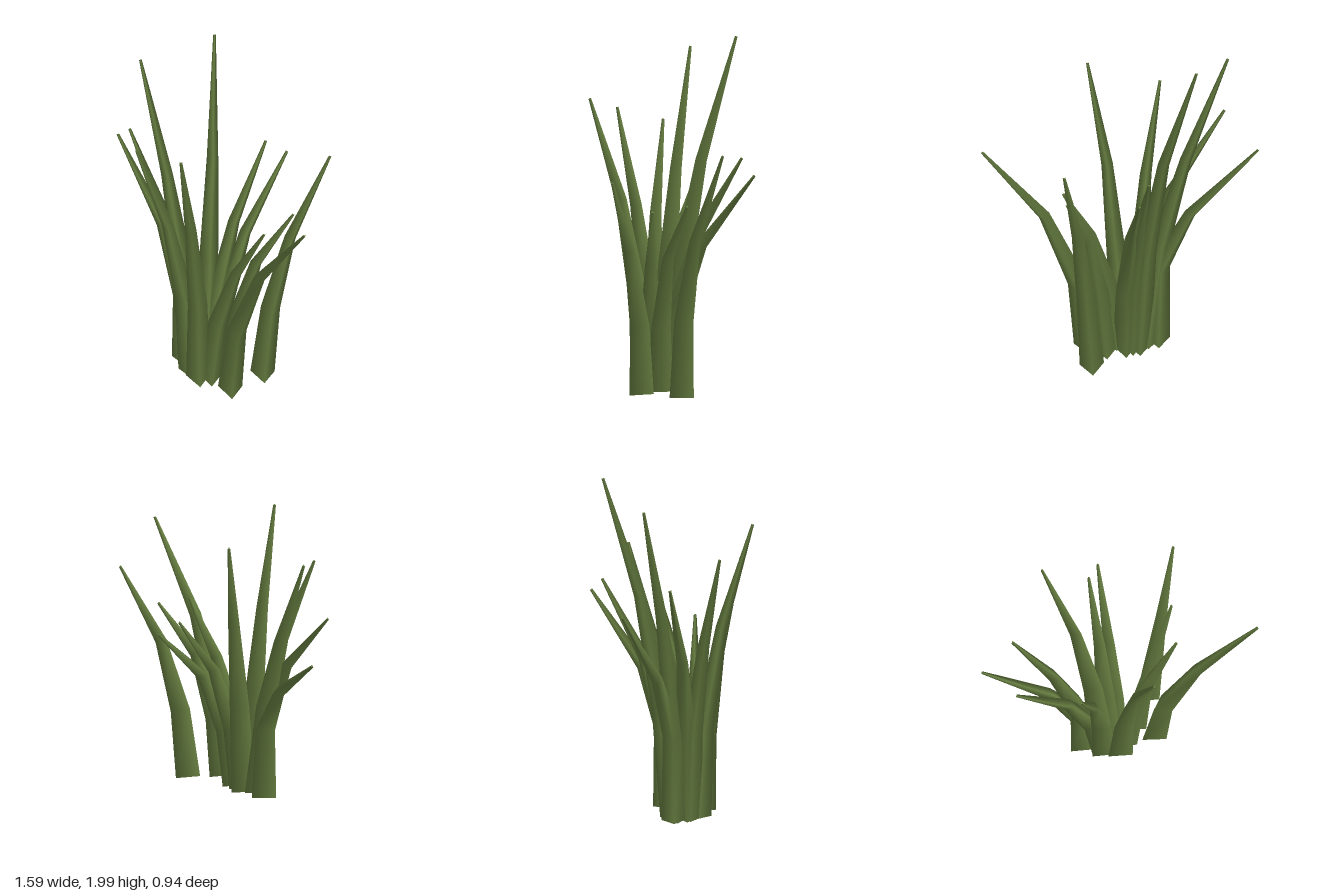
import * as THREE from 'three';

// Centre line of each blade: base, two bends, tip (x, y, z)
const BLADES = [
  [[-0.22, 0.015, 0.15], [-0.235, 0.5, 0.15], [-0.4, 0.85, 0.14], [-0.79, 1.275, 0.13]],
  [[-0.16, 0.015, 0.14], [-0.24, 0.66, 0.15], [-0.38, 1.2, 0.16], [-0.62, 1.86, 0.175]],
  [[-0.11, 0.015, 0.08], [-0.15, 0.65, 0.03], [-0.24, 1.3, -0.06], [-0.42, 1.995, -0.2]],
  [[-0.1, 0.015, 0.17], [-0.16, 0.48, 0.2], [-0.3, 0.94, 0.25], [-0.61, 1.42, 0.34]],
  [[-0.1, 0.015, 0.19], [-0.12, 0.52, 0.22], [-0.16, 1.02, 0.31], [-0.25, 1.555, 0.465]],
  [[-0.07, 0.015, 0.09], [-0.08, 0.45, 0.03], [-0.1, 0.92, -0.11], [-0.14, 1.36, -0.36]],
  [[-0.03, 0.015, 0.07], [-0.03, 0.42, 0.01], [-0.045, 0.86, -0.15], [-0.08, 1.28, -0.465]],
  [[-0.01, 0.015, 0.2], [0.01, 0.52, 0.22], [0.06, 1.1, 0.305], [0.165, 1.695, 0.45]],
  [[0.17, 0.015, -0.12], [0.205, 0.47, -0.15], [0.26, 0.95, -0.245], [0.35, 1.485, -0.46]],
  [[0.08, 0.015, 0.05], [0.12, 0.4, 0.03], [0.2, 0.82, -0.05], [0.32, 1.16, -0.225]],
  [[0.02, 0.015, 0.14], [0.07, 0.4, 0.12], [0.17, 0.77, 0.07], [0.33, 1.11, -0.015]],
  [[0.19, 0.015, 0.12], [0.24, 0.43, 0.11], [0.43, 0.9, 0.085], [0.79, 1.375, 0.03]],
];
const RADII = [0.08, 0.064, 0.038, 0.009];
const UP = new THREE.Vector3(0, 1, 0);

// Three-sided tapering blade, bent along its centre line
function bladeGeometry(points) {
  const path = points.map((p) => new THREE.Vector3(...p));
  const turns = path.map((_, i) => {
    const tangent = path[Math.min(i + 1, 3)].clone().sub(path[Math.max(i - 1, 0)]).normalize();
    return new THREE.Quaternion().setFromUnitVectors(UP, tangent);
  });
  const geo = new THREE.CylinderGeometry(1, 1, 1, 3, 3, false, Math.PI);
  const { position, normal } = geo.attributes;
  const v = new THREE.Vector3();
  for (let i = 0; i < position.count; i++) {
    v.fromBufferAttribute(position, i);
    const ring = Math.round((v.y + 0.5) * 3);
    v.setY(0).multiplyScalar(RADII[ring]).applyQuaternion(turns[ring]).add(path[ring]);
    position.setXYZ(i, v.x, v.y, v.z);
    v.fromBufferAttribute(normal, i).applyQuaternion(turns[ring]);
    normal.setXYZ(i, v.x, v.y, v.z);
  }
  return geo;
}

export function createModel() {
  const model = new THREE.Group();
  model.name = 'grassTuft';
  const green = new THREE.MeshStandardMaterial({ color: 0x667d40 });
  green.name = 'grassGreen';
  BLADES.forEach((points, i) => {
    const blade = new THREE.Mesh(bladeGeometry(points), green);
    blade.name = `blade${i + 1}`;
    model.add(blade);
  });
  return model;
}
